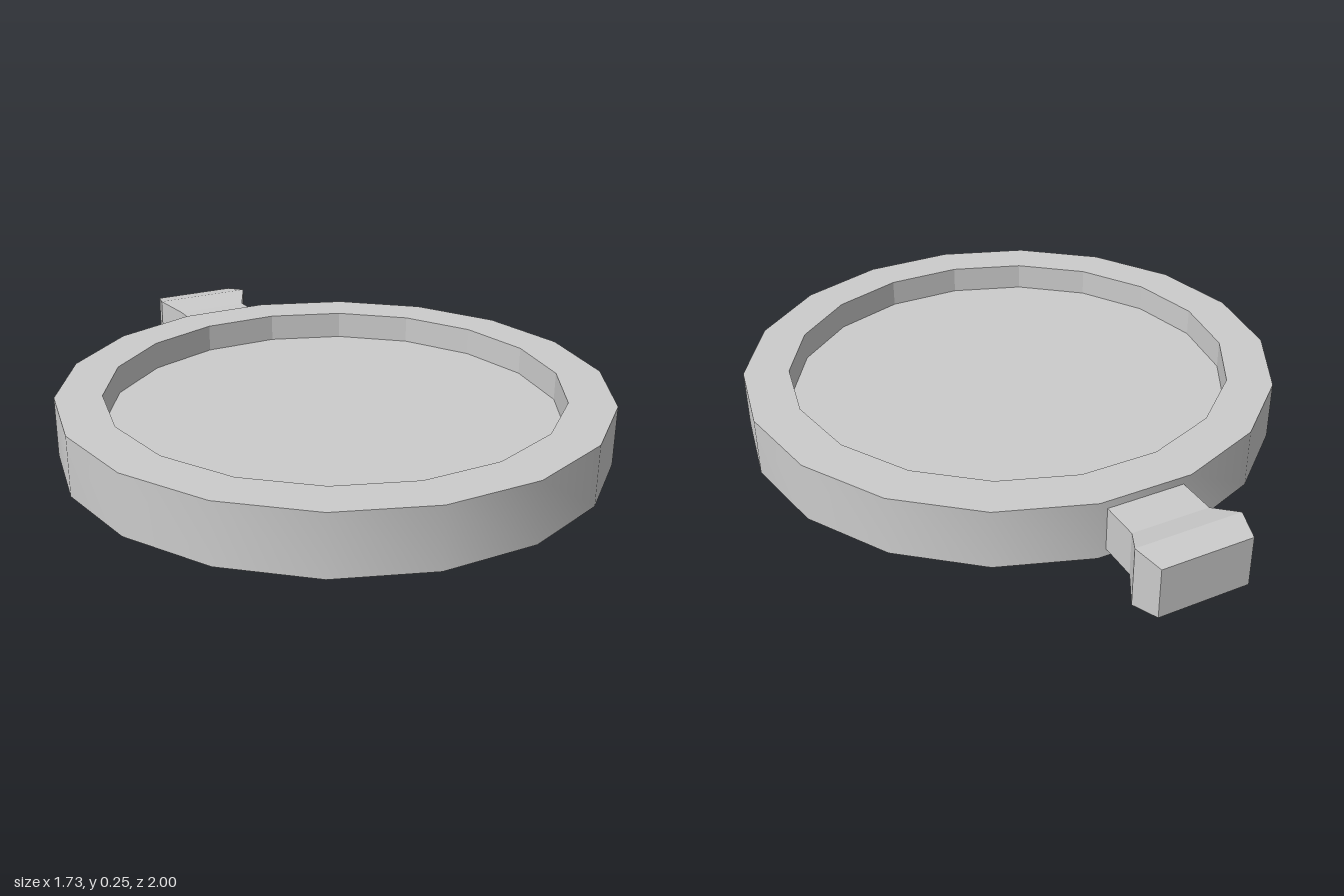
import * as THREE from 'three';
import { toCreasedNormals } from 'three/addons/utils/BufferGeometryUtils.js';

const SIDES = 18;
const CENTER_Z = 0.15;

// Revolve a profile of [radius, y] pairs, with a corner pointing along +x
function lathe(profile) {
  const points = profile.map(([r, y]) => new THREE.Vector2(r, y));
  return new THREE.LatheGeometry(points, SIDES, Math.PI / 2);
}

export function createModel() {
  const group = new THREE.Group();
  const smooth = new THREE.MeshStandardMaterial({ color: 0xcccccc });
  const flat = new THREE.MeshStandardMaterial({ color: 0xcccccc, flatShading: true });

  const add = (name, geometry, material, z = 0) => {
    const mesh = new THREE.Mesh(geometry, material);
    mesh.name = name;
    mesh.position.z = z;
    group.add(mesh);
  };

  // Case: shallow sloped underside, upright wall and top rim
  const shell = lathe([[0, 0], [0.65, 0], [0.863, 0.065], [0.863, 0.255], [0.717, 0.255]]);
  add('caseShell', toCreasedNormals(shell, 0.5), smooth, CENTER_Z);

  // Recess: inner wall and sunken face
  add('recessedFace', lathe([[0.717, 0.255], [0.717, 0.165], [0, 0.165]]), flat, CENTER_Z);

  // Stem and flared knob: a box reshaped by sections [z, half width, half height]
  const sections = [
    [-1.0, 0.145, 0.08],
    [-0.91, 0.17, 0.095],
    [-0.825, 0.125, 0.07],
    [-0.68, 0.125, 0.07],
  ];
  const knob = new THREE.BoxGeometry(2, 2, 3, 1, 1, 3);
  const p = knob.attributes.position;
  for (let i = 0; i < p.count; i++) {
    const [z, w, h] = sections[Math.round(p.getZ(i) + 1.5)];
    p.setXYZ(i, p.getX(i) * w, 0.16 + p.getY(i) * h, z);
  }
  knob.computeVertexNormals();
  add('stemAndKnob', knob, flat);

  return group;
}
